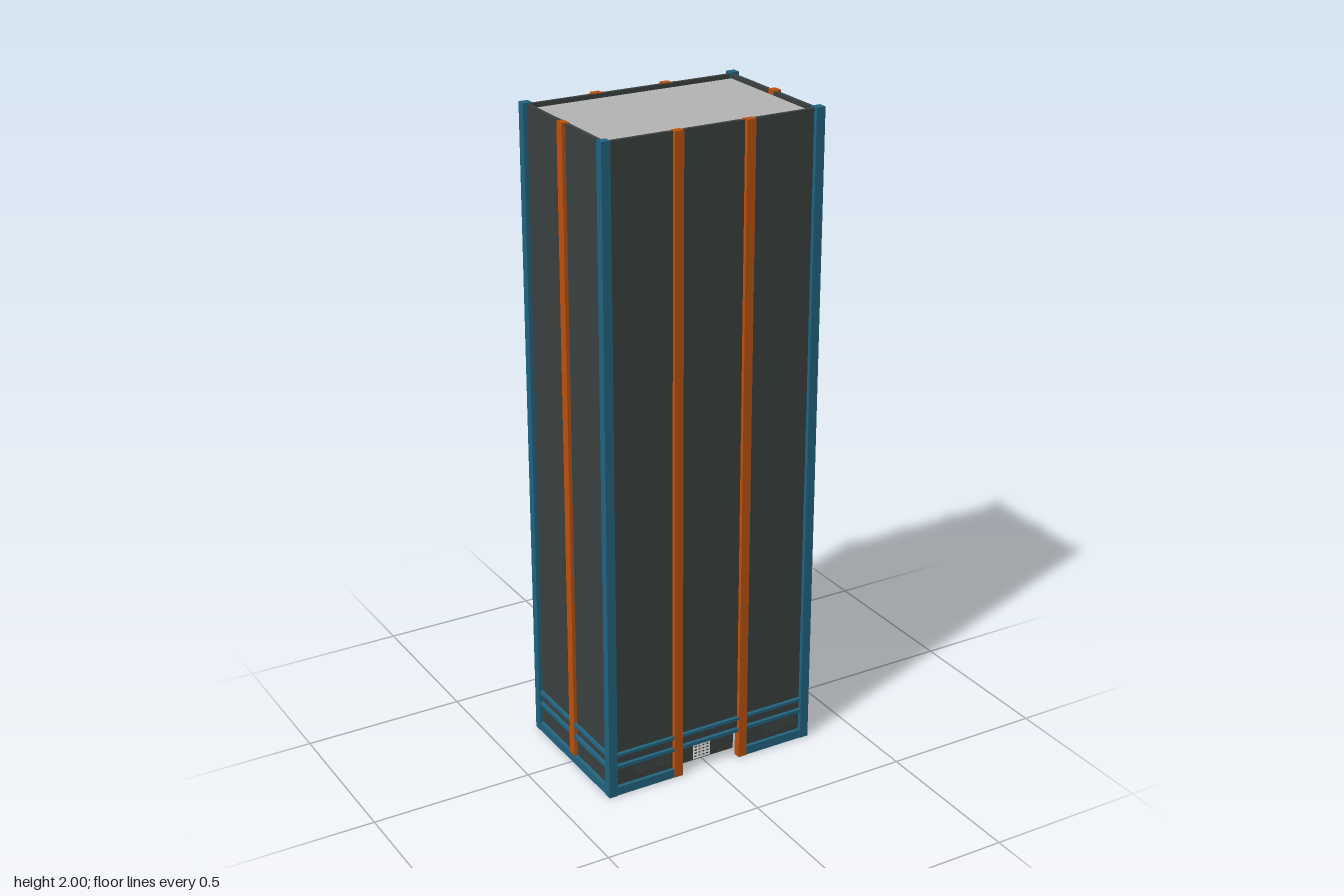
import * as THREE from 'three';

const mat = (name, color, side = THREE.FrontSide) => {
  const m = new THREE.MeshStandardMaterial({ color, side });
  m.name = name;
  return m;
};

export function createModel() {
  const tower = new THREE.Group();
  tower.name = 'tower';
  const wall = mat('charcoal wall', 0x3a4140);
  const blue = mat('blue steel', 0x22647f);
  const orange = mat('orange steel', 0xbb520e);
  const grey = mat('roof grey', 0xb4b4b4);
  const white = mat('pale lattice', 0xe8e8e8);

  // box given by its min and max on every axis
  const box = (name, m, x0, x1, y0, y1, z0, z1, parent = tower) => {
    const mesh = new THREE.Mesh(new THREE.BoxGeometry(x1 - x0, y1 - y0, z1 - z0), m);
    mesh.position.set((x0 + x1) / 2, (y0 + y1) / 2, (z0 + z1) / 2);
    mesh.name = name;
    parent.add(mesh);
    return mesh;
  };

  // perforated grille with rows of small square holes
  const grille = (w, holeFrom, holeTo) => {
    const y0 = 0.028, y1 = 0.092, s = 0.0018;
    const shape = new THREE.Shape();
    shape.moveTo(0, y0).lineTo(w, y0).lineTo(w, y1).lineTo(0, y1).closePath();
    const cols = 14;
    for (let r = 0; r < 4; r++) {
      for (let c = 0; c < cols; c++) {
        const x = holeFrom + (holeTo - holeFrom) * c / (cols - 1), y = 0.05 + r * 0.008;
        const hole = new THREE.Path();
        hole.moveTo(x - s, y - s).lineTo(x - s, y + s).lineTo(x + s, y + s).lineTo(x + s, y - s).closePath();
        shape.holes.push(hole);
      }
    }
    return new THREE.ExtrudeGeometry(shape, { depth: 0.01, bevelEnabled: false });
  };

  // doorway lattice: a frame with crossing bars
  const lattice = (z, facing) => {
    const g = new THREE.Group();
    g.name = 'doorLattice';
    const t = 0.004;
    for (let i = 0; i < 5; i++) {
      const x = -0.028 + i * 0.014, y = 0.006 + i * 0.011;
      box('latticeUpright', white, x - 0.002, x + 0.002, 0.004, 0.052, -t, t, g);
      box('latticeRail', white, -0.03, 0.03, y - 0.002, y + 0.002, -t + 0.0005, t - 0.0005, g);
    }
    g.position.z = z + facing * 0.004;
    tower.add(g);
  };

  // shaft walls with a low parapet
  for (const s of [-1, 1]) {
    const z = s * 0.2185, x = s * 0.3325;
    box('longWall', wall, -0.338, 0.338, 0.09, 1.995, z - 0.0055, z + 0.0055);
    box('sideWall', wall, x - 0.0055, x + 0.0055, 0.09, 1.995, -0.213, 0.213);
  }
  box('roof', grey, -0.327, 0.327, 1.972, 1.982, -0.213, 0.213);
  box('lowerCeiling', wall, -0.327, 0.327, 0.088, 0.098, -0.213, 0.213);

  // corner posts
  for (const sx of [-1, 1]) {
    for (const sz of [-1, 1]) {
      const x = sx * 0.3365, z = sz * 0.2235;
      box('cornerPost', blue, x - 0.014, x + 0.014, 0, 2, z - 0.0135, z + 0.0135);
    }
  }

  // blue bands around the base
  for (const [y0, y1] of [[0.09, 0.101], [0.131, 0.14]]) {
    for (const s of [-1, 1]) {
      const z = s * 0.229, x = s * 0.3425;
      box('longBand', blue, -0.33, 0.33, y0, y1, z - 0.006, z + 0.006);
      box('sideBand', blue, x - 0.006, x + 0.006, y0, y1, -0.22, 0.22);
    }
  }

  // bottom rails and grilles, leaving the central bays of the long sides open
  const longGrille = grille(0.2, 0.075, 0.185);
  const sideGrille = grille(0.2, 0.04, 0.18);
  for (const s of [-1, 1]) {
    for (const h of [-1, 1]) {
      const x0 = h < 0 ? -0.326 : 0.126;
      box('longBottomRail', blue, x0, x0 + 0.2, 0, 0.028, s * 0.224 - 0.011, s * 0.224 + 0.011);
      const long = new THREE.Mesh(longGrille, wall);
      long.name = 'longGrille';
      long.position.set(x0, 0, s * 0.2185 - 0.005);
      tower.add(long);
      const side = new THREE.Mesh(sideGrille, wall);
      side.name = 'sideGrille';
      side.rotation.y = Math.PI / 2;
      side.position.set(s * 0.3325 - 0.005, 0, h < 0 ? -0.012 : 0.212);
      tower.add(side);
    }
    box('sideBottomRail', blue, s * 0.338 - 0.011, s * 0.338 + 0.011, 0, 0.028, -0.212, 0.212);
  }

  // recessed front entrance and flush back entrance
  box('frontEntranceWall', wall, -0.113, 0.113, 0, 0.09, 0.17, 0.18);
  box('backEntranceWall', wall, -0.1, 0.1, 0, 0.09, -0.224, -0.214);
  lattice(0.175, 1);
  lattice(-0.219, -1);

  // orange columns
  for (const s of [-1, 1]) {
    for (const x of [-0.113, 0.113]) {
      box('longColumn', orange, x - 0.014, x + 0.014, 0, 1.997, s * 0.225 - 0.0115, s * 0.225 + 0.0115);
      box('longColumnFlange', orange, x - 0.0275, x + 0.0275, 0.14, 1.996, s * 0.2215 - 0.0015, s * 0.2215 + 0.0015);
    }
    box('sideColumn', orange, s * 0.338 - 0.011, s * 0.338 + 0.011, 0, 1.997, -0.015, 0.015);
    box('sideColumnFlange', orange, s * 0.334 - 0.002, s * 0.334 + 0.002, 0.14, 1.996, -0.022, 0.022);
  }

  return tower;
}
